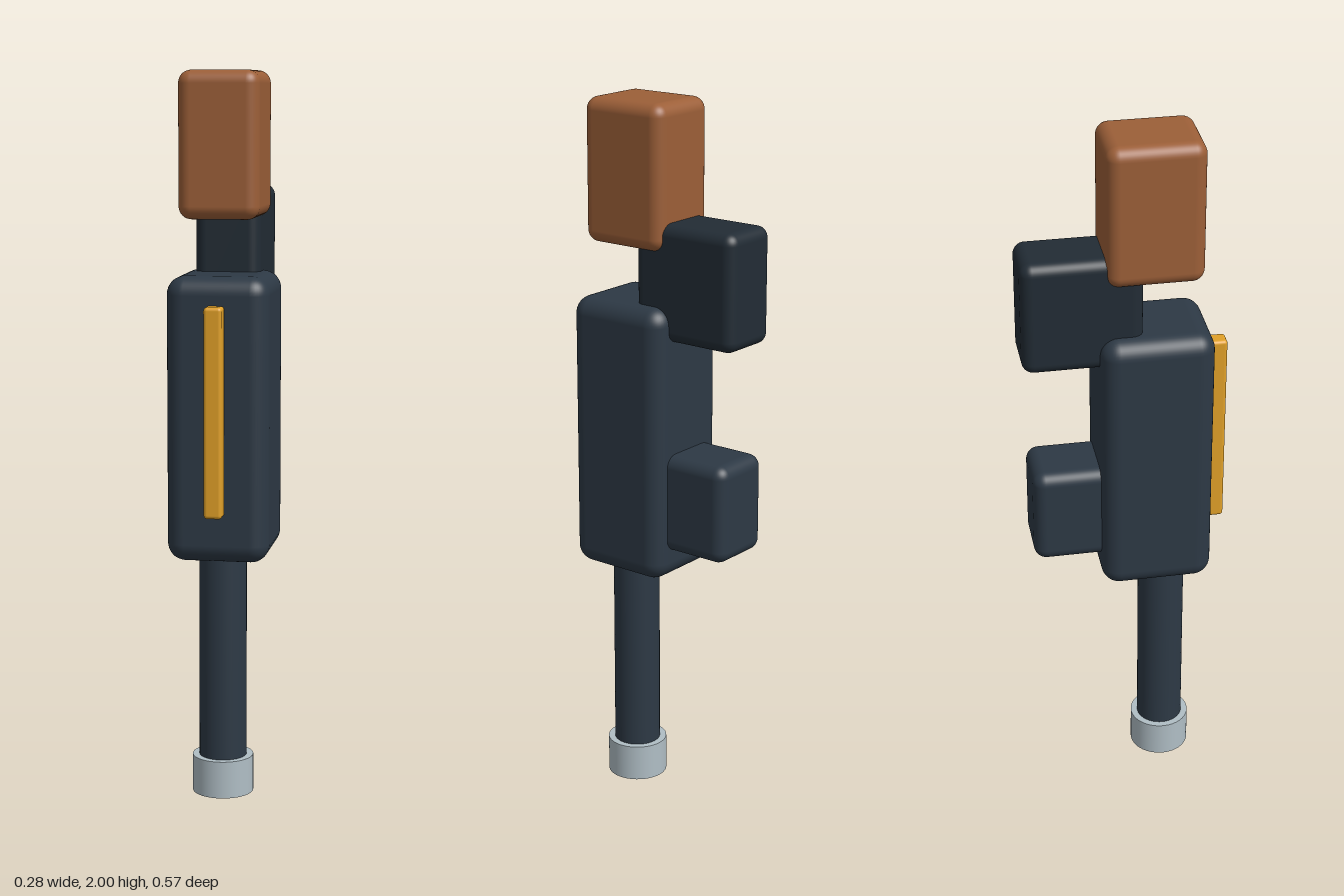
import * as THREE from 'three';
import { RoundedBoxGeometry } from 'three/addons/geometries/RoundedBoxGeometry.js';

const paint = (color) => new THREE.MeshStandardMaterial({ color });

// Rounded block given by half width and its y and z ranges
function block(name, halfX, [y0, y1], [z0, z1], radius, color) {
  const mesh = new THREE.Mesh(new RoundedBoxGeometry(2 * halfX, y1 - y0, z1 - z0, 5, radius), paint(color));
  mesh.name = name;
  mesh.position.set(0, (y0 + y1) / 2, (z0 + z1) / 2);
  return mesh;
}

// Upright cylinder on the post axis
function post(name, radius, [y0, y1], color) {
  const mesh = new THREE.Mesh(new THREE.CylinderGeometry(radius, radius, y1 - y0, 40), paint(color));
  mesh.name = name;
  mesh.position.set(0, (y0 + y1) / 2, 0.11);
  return mesh;
}

export function createModel() {
  const model = new THREE.Group();
  model.name = 'handheldDevice';
  model.add(
    // Slim shaft and its metal tip
    post('tip', 0.085, [0, 0.105], 0xb0bec5),
    post('shaft', 0.066, [0.1, 0.72], 0x2d3945),
    // Main housing with the strip down its front
    block('housing', 0.14, [0.675, 1.455], [-0.078, 0.232], 0.05, 0x2d3945),
    block('frontStrip', 0.025, [0.81, 1.38], [0.232, 0.285], 0.01, 0xe0a028),
    // Rear blocks
    block('lowerRearBlock', 0.096, [0.76, 1.04], [-0.265, -0.02], 0.035, 0x2d3945),
    block('upperRearBlock', 0.09, [1.36, 1.683], [-0.285, 0.042], 0.032, 0x222c35),
    // Brown head on top
    block('head', 0.11, [1.605, 2], [-0.06, 0.203], 0.035, 0x9c5f38),
  );
  return model;
}
